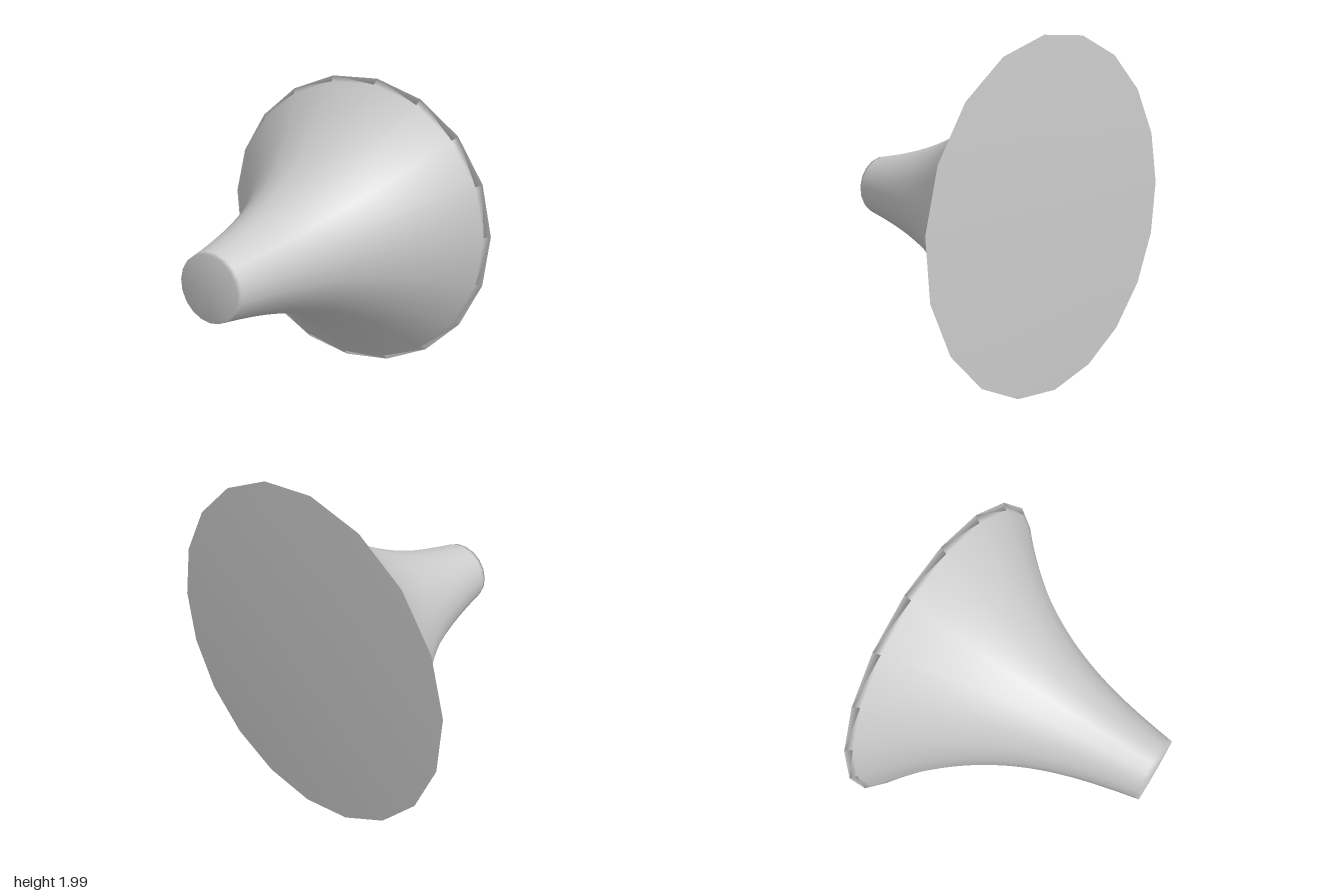
import * as THREE from 'three';
import { mergeVertices } from 'three/addons/utils/BufferGeometryUtils.js';

const SIDES = 19;
const RINGS = 50;
const LENGTH = 1.5;

// Radius along the horn, t from the narrow end (0) to the wide end (1)
const flare = (t) => 0.2 + 0.272 * t + 0.05 * t ** 2 + 0.481 * t ** 3;

export function createModel() {
  const group = new THREE.Group();
  group.name = 'flaredHorn';

  // Closed profile: narrow cap centre, flared wall, wide cap centre
  const profile = [new THREE.Vector2(0, -LENGTH / 2)];
  for (let i = 0; i <= RINGS; i++) {
    const t = i / RINGS;
    profile.push(new THREE.Vector2(flare(t), (t - 0.5) * LENGTH));
  }
  profile.push(new THREE.Vector2(0, LENGTH / 2));

  // Weld the seam and rims so that the normals run smoothly over them
  let geometry = new THREE.LatheGeometry(profile, SIDES);
  geometry.deleteAttribute('uv');
  geometry.deleteAttribute('normal');
  geometry = mergeVertices(geometry, 1e-4);
  geometry.computeVertexNormals();

  // Lay the axis along x with one corner of the rim on the ground
  const V = THREE.Vector3;
  geometry.applyMatrix4(
    new THREE.Matrix4().makeBasis(new V(0, 0, -1), new V(1, 0, 0), new V(0, -1, 0))
  );
  geometry.translate(0, flare(1), 0);

  const horn = new THREE.Mesh(geometry, new THREE.MeshStandardMaterial({ color: 0xcccccc }));
  horn.name = 'horn';
  group.add(horn);
  return group;
}
